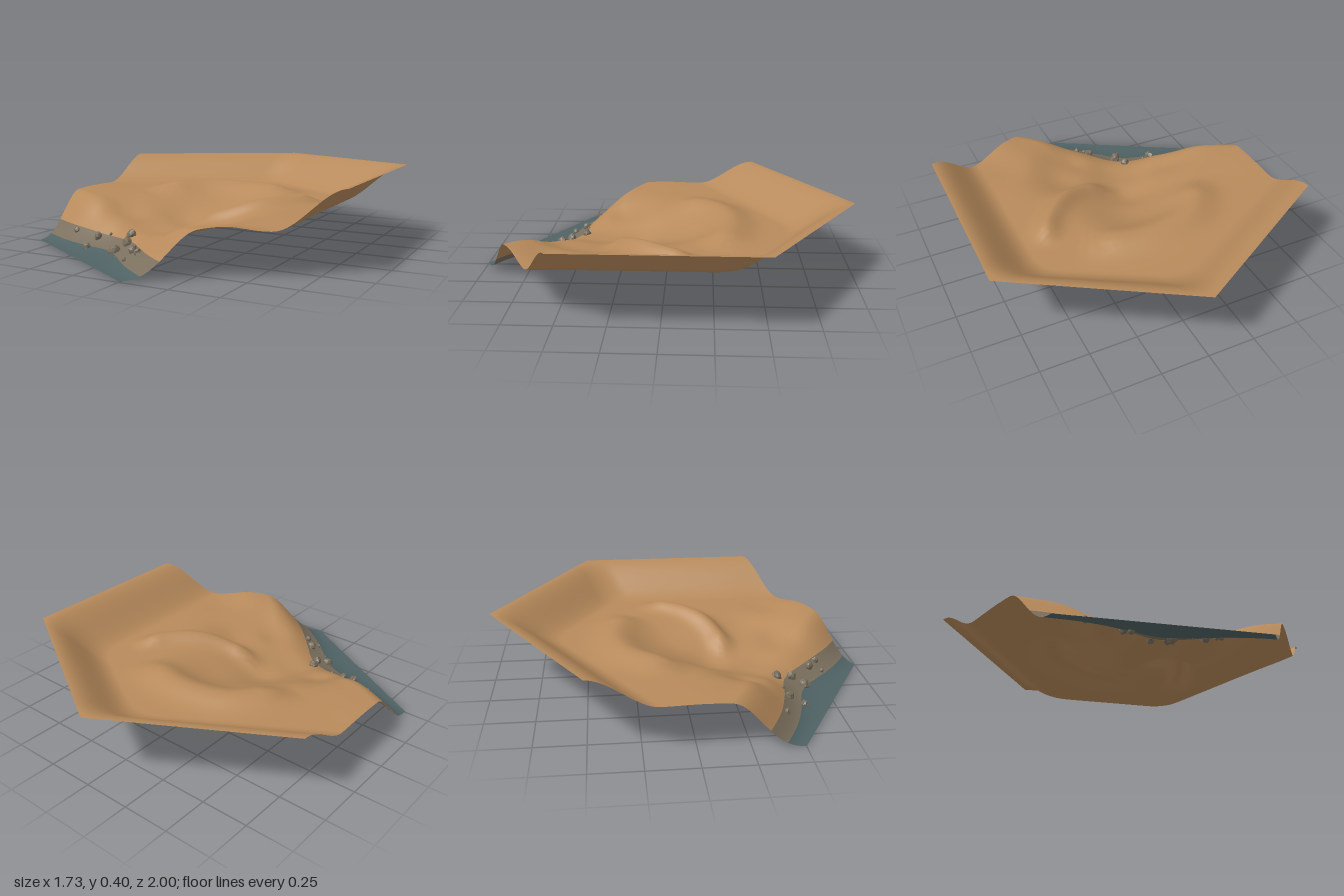
import * as THREE from 'three';
import { mergeVertices } from 'three/addons/utils/BufferGeometryUtils.js';

const A = Math.sqrt(3) / 2; // hexagon apothem
const smooth = (t) => THREE.MathUtils.smoothstep(t, 0, 1);
const bell = (d, r) => Math.exp(-(d * d) / (r * r));
// Minimum with a rounded crease of width k
const softMin = (a, b, k) => Math.min(a, b) - Math.max(0, k - Math.abs(a - b)) ** 2 / (4 * k);

// Crest lines of the ridges round the hollow, as [x, z]
const crest = (pts) =>
  new THREE.CatmullRomCurve3(pts.map(([x, z]) => new THREE.Vector3(x, 0, z))).getPoints(120);
const ridges = [
  { line: crest([[-0.47, 0.02], [-0.4, -0.14], [-0.27, -0.29], [-0.05, -0.34], [0.18, -0.3], [0.34, -0.22]]), amp: 0.05, width: 0.11 },
  { line: crest([[-0.14, 0.21], [0.04, 0.235], [0.19, 0.185], [0.34, 0.06], [0.44, -0.08], [0.48, -0.22]]), amp: 0.05, width: 0.06 },
];
// Hollows and swells: [x, z, height, radius]
const hollows = [
  [-0.42, 0.31, 0.145, 0.15],
  [0.03, 0.52, 0.12, 0.18],
  [0.14, 0.37, 0.15, 0.18],
  [0, -0.04, 0.172, 0.18],
  [-0.2, 0.38, 0.085, 0.15],
  [-0.13, 0.18, 0.09, 0.22],
  [0.43, 0.56, 0.202, 0.14],
  [0.4, 0.78, 0.238, 0.13],
  [-0.82, 0.03, 0.238, 0.14],
];

// How far inside the bay a point lies, 0 to 1, measured along the shore
function bay(x, z) {
  const along = A * x + 0.5 * z - 0.03;
  return bell(along, along < 0 ? 0.25 : 0.28);
}

// Ground height at any point
function height(x, z) {
  const toShore = A + 0.5 * x - A * z;
  const toBack = softMin(A - 0.5 * x + A * z, A + 0.5 * x + A * z, 0.1);
  const toWall = softMin(A - x, toBack, 0.1);
  const plateau = 0.221 - 0.012 * x;
  // shore slope, set back in the middle to form a bay
  let h = plateau * Math.pow(smooth(toShore / (0.31 + 0.47 * bay(x, z))), 1.3);
  // raised outer walls
  const top = 0.377 + 0.023 * Math.max(0, x / A);
  h += (top - plateau) * (1 - smooth(toWall / 0.29));
  for (const [cx, cz, y, r] of hollows) h += (y - h) * bell(Math.hypot(x - cx, z - cz), r);
  for (const { line, amp, width } of ridges) {
    let best = 9, at = 0;
    line.forEach((p, i) => {
      const d = (x - p.x) ** 2 + (z - p.z) ** 2;
      if (d < best) { best = d; at = i / (line.length - 1); }
    });
    h += amp * bell(Math.sqrt(best), width) * smooth(at * 4) * smooth((1 - at) * 4);
  }
  return h;
}

// Keep the part of a polygon above (sign 1) or below (sign -1) a level that drops in the bay
function clip(poly, [level, drop], sign) {
  const out = [];
  const side = (p) => sign * (p.y - level + drop * bay(p.x, p.z));
  poly.forEach((a, i) => {
    const b = poly[(i + 1) % poly.length];
    const da = side(a), db = side(b);
    if (da >= 0) out.push(a);
    if (da * db < 0) out.push(a.clone().lerp(b, da / (da - db)));
  });
  return out;
}

// Triangles of the hexagon, six sectors with n rows each
function hexTriangles(n) {
  const tris = [];
  for (let s = 0; s < 6; s++) {
    const corner = (k) => [Math.sin((k * Math.PI) / 3), Math.cos((k * Math.PI) / 3)];
    const [ax, az] = corner(s), [bx, bz] = corner(s + 1);
    const rows = [];
    for (let i = 0; i <= n; i++) {
      rows.push([]);
      for (let j = 0; j <= i; j++) {
        const x = (ax * (i - j) + bx * j) / n, z = (az * (i - j) + bz * j) / n;
        rows[i].push(new THREE.Vector3(x, height(x, z), z));
      }
    }
    for (let i = 0; i < n; i++) {
      for (let j = 0; j <= i; j++) {
        tris.push([rows[i][j], rows[i + 1][j], rows[i + 1][j + 1]]);
        if (j < i) tris.push([rows[i][j], rows[i + 1][j + 1], rows[i][j + 1]]);
      }
    }
  }
  return tris;
}

// One colour band of the ground between two levels
function band(tris, low, high) {
  const pos = [], nor = [], e = 0.012;
  for (const tri of tris) {
    const poly = clip(clip(tri, low, 1), high, -1);
    for (let k = 1; k + 1 < poly.length; k++) {
      for (const p of [poly[0], poly[k], poly[k + 1]]) pos.push(p.x, p.y, p.z);
    }
  }
  const g = new THREE.BufferGeometry();
  g.setAttribute('position', new THREE.Float32BufferAttribute(pos, 3));
  const merged = mergeVertices(g, 1e-5), p = merged.attributes.position;
  for (let i = 0; i < p.count; i++) {
    const x = p.getX(i), z = p.getZ(i);
    const v = new THREE.Vector3(height(x - e, z) - height(x + e, z), 2 * e, height(x, z - e) - height(x, z + e)).normalize();
    nor.push(v.x, v.y, v.z);
  }
  merged.setAttribute('normal', new THREE.Float32BufferAttribute(nor, 3));
  return merged;
}

// Angular boulder with uneven corners
function rockGeometry(seed) {
  const g = new THREE.IcosahedronGeometry(1, 1), p = g.attributes.position;
  for (let i = 0; i < p.count; i++) {
    const v = new THREE.Vector3().fromBufferAttribute(p, i);
    const k = 1 + 0.2 * Math.sin(v.x * 5 + seed * 2.1) * Math.cos(v.y * 4 + v.z * 3 + seed);
    p.setXYZ(i, v.x * k, v.y * k, v.z * k);
  }
  g.computeVertexNormals();
  return g;
}

export function createModel() {
  const model = new THREE.Group();
  model.name = 'coastalTerrainTile';
  const material = (name, color, flat = false) => {
    const m = new THREE.MeshStandardMaterial({ color, flatShading: flat, side: THREE.DoubleSide });
    m.name = name;
    return m;
  };

  // Ground in three colour bands, each level as [height, drop in the bay]
  const tris = hexTriangles(56);
  const waterline = [0.02, 0], beachTop = [0.086, 0.024];
  const bands = [
    ['seabed', 0x4f6264, [-1, 0], waterline],
    ['beach', 0x7b705e, waterline, beachTop],
    ['sandyGround', 0xb78a5b, beachTop, [2, 0]],
  ];
  for (const [name, color, low, high] of bands) {
    const mesh = new THREE.Mesh(band(tris, low, high), material(name, color));
    mesh.name = name;
    model.add(mesh);
  }

  // Boulders scattered on the beach: [x, z, radius]
  const stone = material('stone', 0x786d5d, true);
  const rocks = [
    [-0.65, 0.455, 0.017], [-0.47, 0.51, 0.023], [-0.49, 0.585, 0.02], [-0.405, 0.49, 0.009],
    [-0.28, 0.485, 0.026], [-0.25, 0.57, 0.027], [-0.285, 0.635, 0.029], [-0.13, 0.695, 0.025],
    [-0.07, 0.745, 0.019], [-0.13, 0.77, 0.013], [-0.225, 0.705, 0.005],
  ];
  rocks.forEach(([x, z, r], i) => {
    const rock = new THREE.Mesh(rockGeometry(i), stone);
    rock.name = 'rock' + (i + 1);
    rock.scale.set(r, r * 1.1, r * 0.85);
    rock.rotation.set(0.3 * Math.sin(i * 3), i * 1.7, 0.35 * Math.cos(i * 2));
    rock.position.set(x, height(x, z) + r * 0.2, z);
    model.add(rock);
  });
  return model;
}
